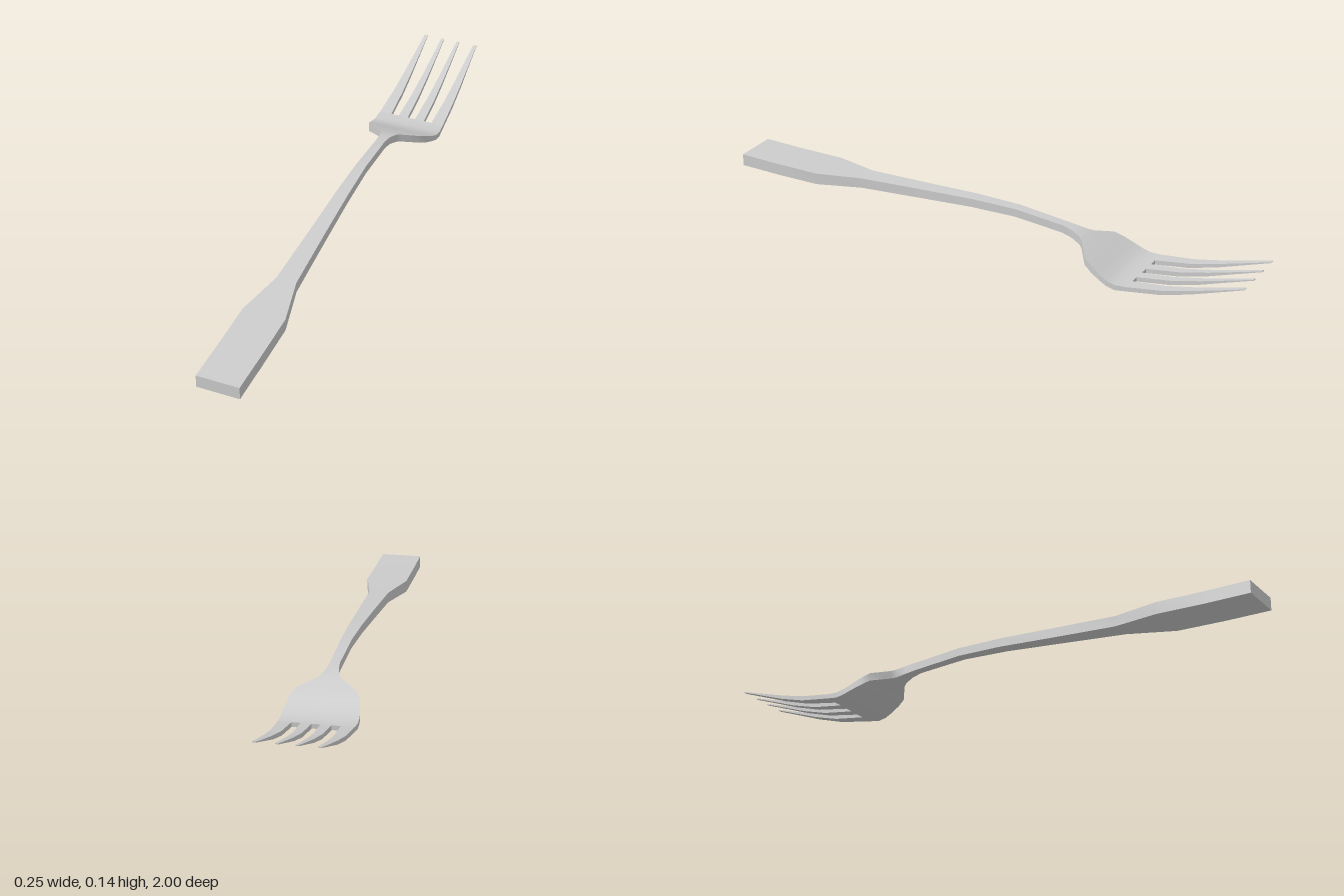
import * as THREE from 'three';
import { toCreasedNormals } from 'three/addons/utils/BufferGeometryUtils.js';

const material = new THREE.MeshStandardMaterial({ color: 0xcccccc });

// Rectangular sections [z, xMin, xMax, yBottom, yTop], running from front to back
function loft(name, sections) {
  const positions = [];
  const index = [];
  for (const [z, x0, x1, y0, y1] of sections) {
    positions.push(x0, y0, z, x1, y0, z, x1, y1, z, x0, y1, z);
  }
  const last = (sections.length - 1) * 4;
  for (let a = 0; a < last; a += 4) {
    for (let i = 0; i < 4; i++) {
      const j = (i + 1) % 4;
      index.push(a + i, a + 4 + i, a + j, a + j, a + 4 + i, a + 4 + j);
    }
  }
  index.push(0, 1, 2, 0, 2, 3, last, last + 2, last + 1, last, last + 3, last + 2);
  const geometry = new THREE.BufferGeometry();
  geometry.setAttribute('position', new THREE.Float32BufferAttribute(positions, 3));
  geometry.setIndex(index);
  const mesh = new THREE.Mesh(toCreasedNormals(geometry, 0.55), material);
  mesh.name = name;
  return mesh;
}

const symmetric = ([z, half, bottom, top]) => [z, -half, half, bottom, top];

export function createModel() {
  const group = new THREE.Group();
  group.name = 'fork';

  // Handle: broad flat end narrowing to an arched neck
  const handle = [
    [1.0, 0.073, 0.0, 0.044],
    [0.84, 0.073, 0.006, 0.049],
    [0.67, 0.073, 0.016, 0.058],
    [0.5, 0.035, 0.033, 0.07],
    [0.25, 0.027, 0.06, 0.094],
    [0.05, 0.022, 0.082, 0.113],
    [-0.12, 0.018, 0.093, 0.122],
    [-0.3, 0.016, 0.086, 0.114],
    [-0.34, 0.02, 0.08, 0.109],
  ];
  // Head: shoulders widen quickly while dipping into the bowl
  const head = [
    [-0.375, 0.03, 0.07, 0.1],
    [-0.39, 0.042, 0.065, 0.094],
    [-0.435, 0.1, 0.047, 0.075],
    [-0.465, 0.112, 0.034, 0.06],
    [-0.5, 0.12, 0.02, 0.042],
    [-0.53, 0.124, 0.009, 0.029],
    [-0.56, 0.124, 0.004, 0.023],
    [-0.6, 0.122, 0.011, 0.027],
  ];
  group.add(loft('handleAndHead', [...handle, ...head].map(symmetric)));

  // Tines: tapered prongs curving upward to the tips
  const tineProfile = [
    [-0.6, 0.011, 0.027],
    [-0.72, 0.034, 0.05],
    [-0.82, 0.066, 0.079],
    [-0.92, 0.105, 0.112],
    [-1.0, 0.136, 0.139],
  ];
  const tines = [
    { name: 'outerTine', root: [0.078, 0.122], tip: [0.091, 0.104] },
    { name: 'innerTine', root: [0.014, 0.049], tip: [0.025, 0.036] },
  ];
  for (const { name, root, tip } of tines) {
    for (const side of [1, -1]) {
      const sections = tineProfile.map(([z, bottom, top]) => {
        const t = (-0.6 - z) / 0.4;
        const xs = root.map((x, i) => side * THREE.MathUtils.lerp(x, tip[i], t));
        return [z, Math.min(...xs), Math.max(...xs), bottom, top];
      });
      group.add(loft((side > 0 ? 'left ' : 'right ') + name, sections));
    }
  }
  return group;
}
